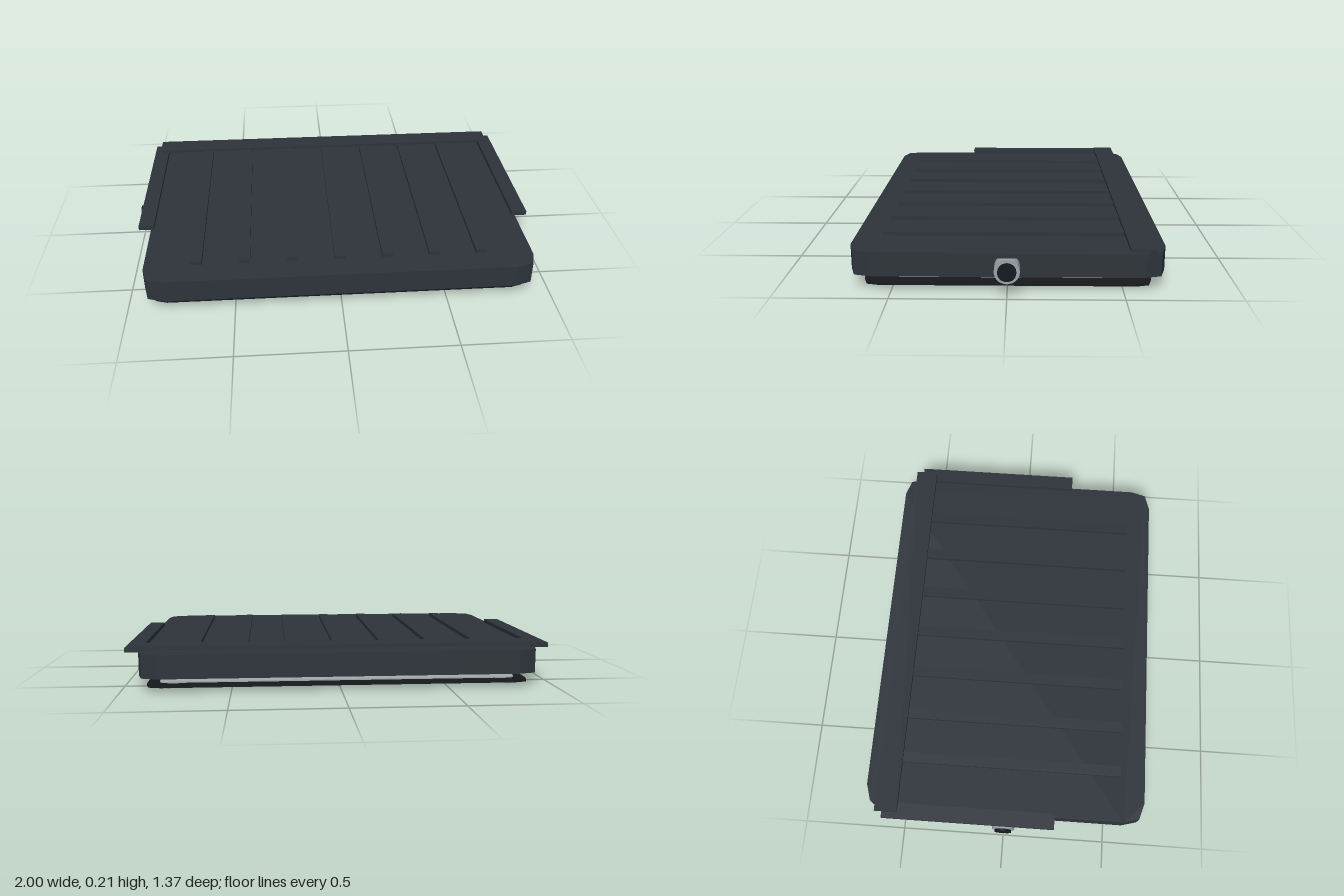
import * as THREE from 'three';

const mat = (color) => new THREE.MeshStandardMaterial({ color });

export function createModel() {
  const root = new THREE.Group();
  const shell = mat(0x2e343b), black = mat(0x16191c), steel = mat(0x9aa4ac);
  const panel = mat(0xa4aaae), gold = mat(0xc79a3c);

  const add = (name, geo, material, x = 0, y = 0, z = 0) => {
    const m = new THREE.Mesh(geo, material);
    m.name = name;
    m.position.set(x, y, z);
    root.add(m);
    return m;
  };
  // Box given by its limits on each axis
  const box = (name, material, x0, x1, y0, y1, z0, z1) =>
    add(name, new THREE.BoxGeometry(x1 - x0, y1 - y0, z1 - z0), material,
      (x0 + x1) / 2, (y0 + y1) / 2, (z0 + z1) / 2);
  // Flat outline raised from y0 to y1
  const slab = (name, shape, material, y0, y1, z = 0) => {
    const g = new THREE.ExtrudeGeometry(shape, { depth: y1 - y0, bevelEnabled: false, curveSegments: 6 });
    g.rotateX(-Math.PI / 2);
    return add(name, g, material, 0, y0, z);
  };
  // Rectangle with two-step chamfered corners
  const chamfered = (w, d, c) => {
    const q = [[w, d - c], [w - c * 0.2, d - c * 0.25], [w - c, d]];
    const pts = [];
    for (const [sx, sz] of [[1, 1], [-1, 1], [-1, -1], [1, -1]]) {
      const corner = q.map(([x, z]) => new THREE.Vector2(x * sx, z * sz));
      if (sx * sz < 0) corner.reverse();
      pts.push(...corner);
    }
    return new THREE.Shape(pts);
  };
  const rounded = (w, d, r) => {
    const s = new THREE.Shape();
    s.moveTo(w - r, -d).absarc(w - r, -d + r, r, -Math.PI / 2, 0);
    s.absarc(w - r, d - r, r, 0, Math.PI / 2);
    s.absarc(-w + r, d - r, r, Math.PI / 2, Math.PI);
    s.absarc(-w + r, -d + r, r, Math.PI, Math.PI * 1.5);
    return s;
  };

  // Main housing with cooling ribs and rails
  slab('housing', chamfered(0.92, 0.685, 0.1), shell, 0.068, 0.178);
  for (let i = -3; i <= 3; i++) {
    const x = i * 0.225;
    box('coolingRib', shell, x - 0.026, x + 0.026, 0.17, 0.196, -0.56, 0.562);
  }
  box('rearRail', shell, -0.95, 0.95, 0.191, 0.208, -0.63, -0.52);
  for (const s of [-1, 1]) {
    const rail = box('sideRail', shell, 0.905, 0.98, 0.176, 0.197, -0.595, 0.248);
    rail.position.x *= s;
  }

  // Side pivots: steel collar around a dark pin
  const collar = new THREE.LatheGeometry(
    [[0.04, 0.9], [0.055, 0.9], [0.055, 0.987], [0.04, 0.987], [0.04, 0.9]].map(([r, y]) => new THREE.Vector2(r, y)), 28);
  const flatCollar = collar.toNonIndexed();
  flatCollar.computeVertexNormals();
  for (const s of [-1, 1]) {
    add('pivotCollar', flatCollar, steel, 0, 0.118, 0).rotation.z = -s * Math.PI / 2;
    add('pivotPin', new THREE.CylinderGeometry(0.04, 0.04, 0.1, 28), black, s * 0.95, 0.118, 0)
      .rotation.z = -s * Math.PI / 2;
  }

  // Lamp board with its chips under the housing
  slab('gasket', rounded(0.76, 0.53, 0.03), black, 0.062, 0.068);
  slab('lampBoard', rounded(0.79, 0.555, 0.02), panel, 0.054, 0.062);
  for (const x of [-0.39, -0.13, 0.13, 0.39])
    for (const z of [-0.22, 0, 0.22])
      box('lampChip', gold, x - 0.02, x + 0.02, 0.049, 0.054, z - 0.018, z + 0.018);

  // Diffuser, window frame and shade strip
  slab('diffuser', rounded(0.83, 0.585, 0.03), panel, 0.03, 0.036);
  const frame = chamfered(0.89, 0.63, 0.07);
  frame.holes.push(rounded(0.805, 0.565, 0.02));
  slab('windowFrame', frame, black, 0.016, 0.024);
  slab('shadeStrip', rounded(0.75, 0.115, 0.05), black, 0.02, 0.027, -0.455);

  // Corner screws
  for (const x of [-0.8, 0.8])
    for (const z of [-0.56, 0.56])
      add('cornerScrew', new THREE.CylinderGeometry(0.017, 0.017, 0.016, 16), steel, x, 0.008, z);

  return root;
}
